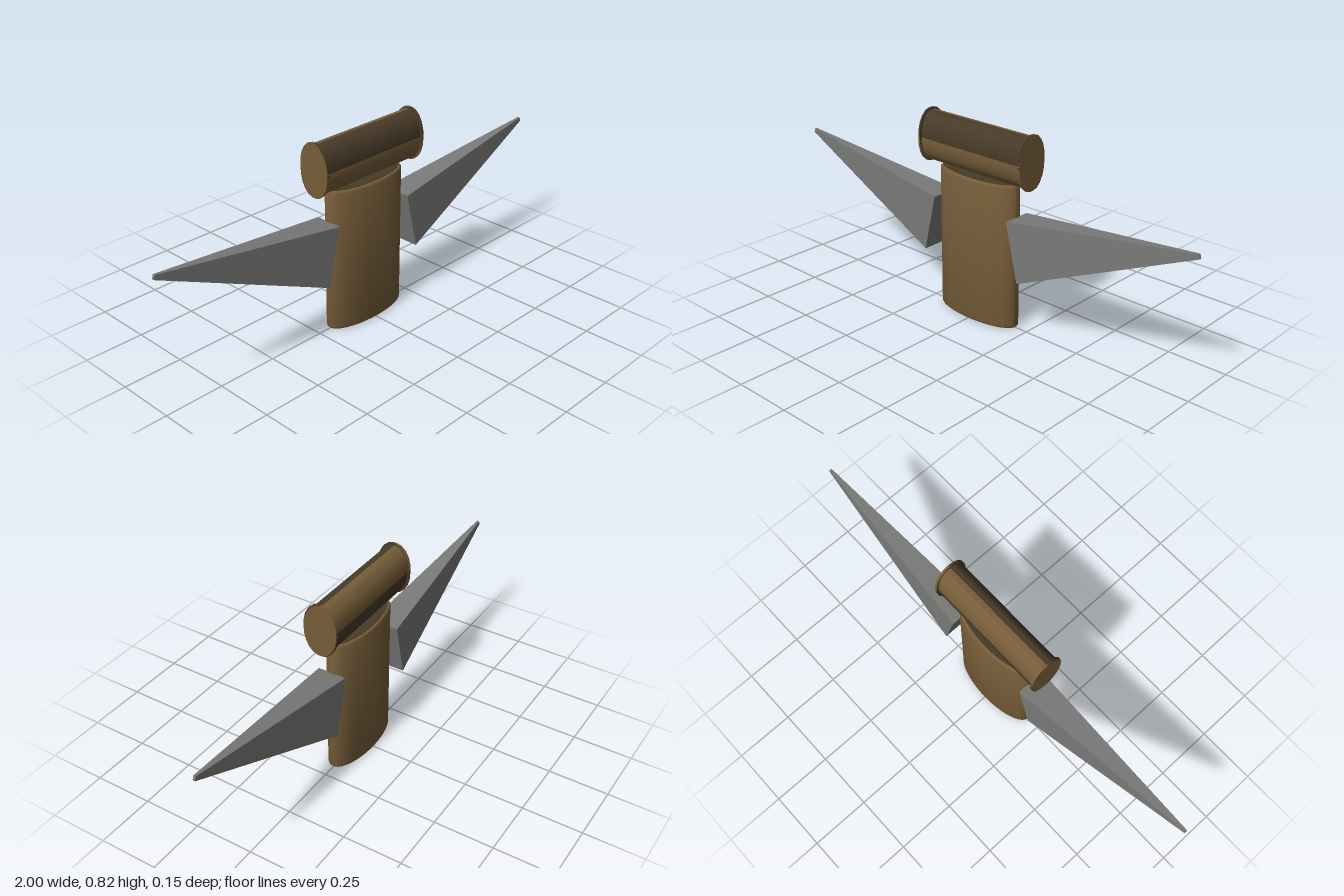
import * as THREE from 'three';
import { toCreasedNormals } from 'three/addons/utils/BufferGeometryUtils.js';

function flatColour(name, color) {
  const material = new THREE.MeshStandardMaterial({ color });
  material.name = name;
  return material;
}
const brown = flatColour('brown', 0x765d39);
const darkBrown = flatColour('darkBrown', 0x483a28);
const grey = flatColour('grey', 0x797977);

// Elliptical bar along z, centred on the origin, with softly bevelled ends
function ellipseBar(rx, ry, length, bevel, segments) {
  const shape = new THREE.Shape();
  shape.absellipse(0, 0, rx - bevel, ry - bevel, 0, Math.PI * 2);
  const geo = new THREE.ExtrudeGeometry(shape, {
    depth: length - 2 * bevel,
    curveSegments: segments,
    bevelEnabled: bevel > 0,
    bevelSize: bevel,
    bevelThickness: bevel,
    bevelSegments: 3,
  });
  geo.translate(0, 0, bevel - length / 2);
  return toCreasedNormals(geo, 0.7);
}

// Tapered four-sided spike reaching out to +x (side = 1) or -x (side = -1)
function spike(side) {
  const geo = new THREE.BoxGeometry(1, 1, 1);
  const pos = geo.attributes.position;
  for (let i = 0; i < pos.count; i++) {
    const outer = pos.getX(i) * side > 0;
    const upper = pos.getY(i) > 0;
    const front = Math.sign(pos.getZ(i));
    const x = outer ? (upper ? 0.995 : 1) : (upper ? 0.19 : 0.247);
    const y = outer ? (upper ? 0.569 : 0.552) : (upper ? 0.473 : 0.23);
    pos.setXYZ(i, x * side, y, front * (outer ? 0.005 : 0.06));
  }
  const flat = geo.toNonIndexed();
  flat.computeVertexNormals();
  return flat;
}

export function createModel() {
  const model = new THREE.Group();
  const add = (parent, name, geo, material) => {
    const mesh = new THREE.Mesh(geo, material);
    mesh.name = name;
    parent.add(mesh);
    return mesh;
  };

  // Upright oval body with a thin dark plate on top
  const body = add(model, 'body', ellipseBar(0.197, 0.074, 0.605, 0.01, 48), brown);
  body.rotation.x = -Math.PI / 2;
  body.position.y = 0.3025;
  const plate = add(model, 'bodyTopPlate', ellipseBar(0.186, 0.063, 0.006, 0, 48), darkBrown);
  plate.rotation.x = -Math.PI / 2;
  plate.position.y = 0.604;

  // Crosswise head: two oval bars crossing at a slight twist, each with rimmed
  // end caps, so the dark one shows at the upper front and lower back
  const layers = [
    { name: 'headBar', material: brown, twist: -0.07, capX: 0.2595 },
    { name: 'darkHeadBar', material: darkBrown, twist: 0.07, capX: 0.2585 },
  ];
  for (const { name, material, twist, capX } of layers) {
    const head = new THREE.Group();
    head.name = name;
    head.position.y = 0.709;
    head.rotation.x = twist;
    model.add(head);
    add(head, name + 'Tube', ellipseBar(0.063, 0.102, 0.51, 0, 24), material).rotation.y = Math.PI / 2;
    for (const side of [1, -1]) {
      const cap = add(head, name + 'Cap', ellipseBar(0.072, 0.111, 0.009, 0, 10), material);
      cap.rotation.y = Math.PI / 2;
      cap.position.x = side * capX;
    }
  }

  // Side spikes
  add(model, 'leftSpike', spike(1), grey);
  add(model, 'rightSpike', spike(-1), grey);
  return model;
}
